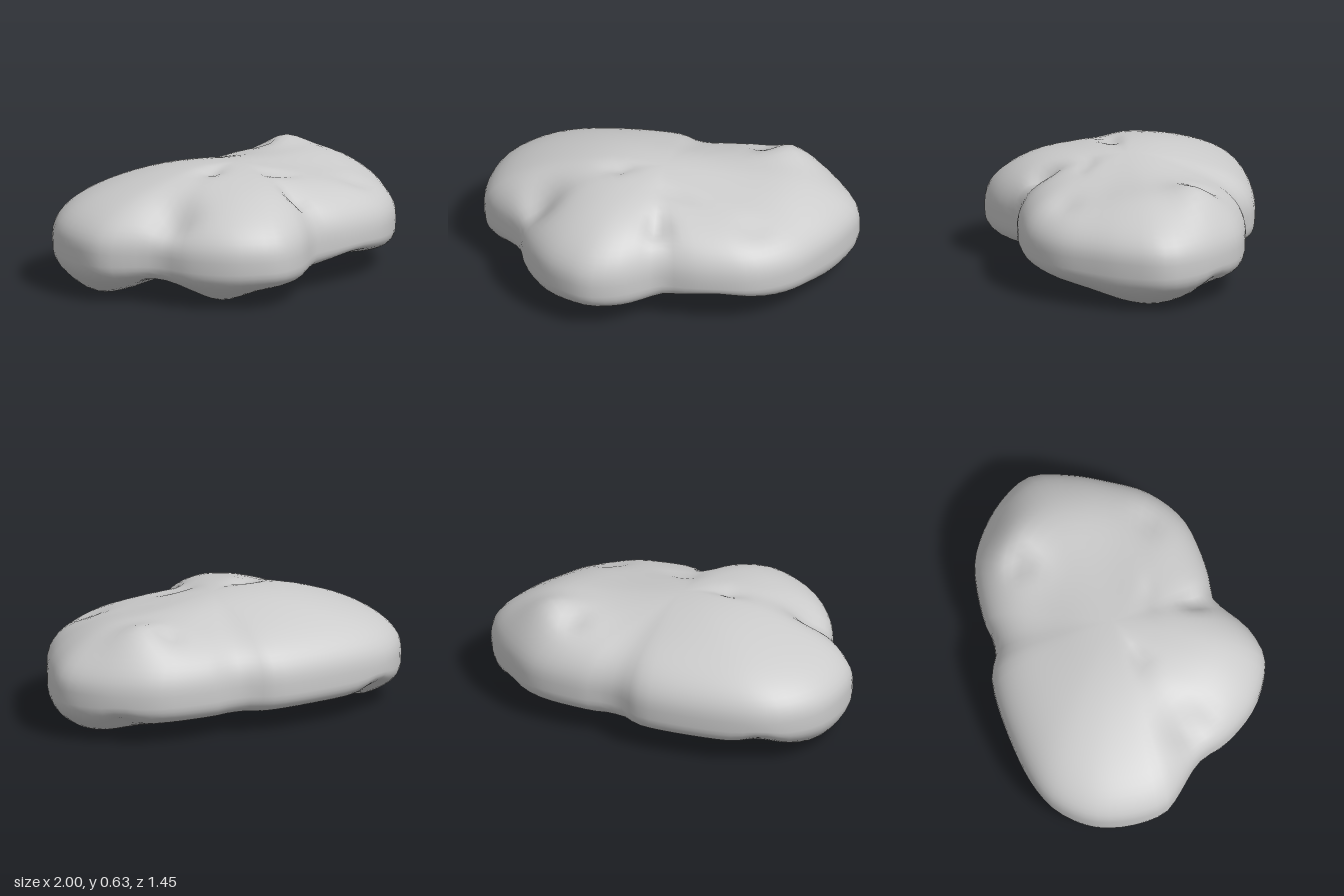
import * as THREE from 'three';
import { mergeVertices } from 'three/addons/utils/BufferGeometryUtils.js';

// Plan outline, [x, z], running from the left side round the front
const OUTLINE = [
  [1, -0.34], [0.97, -0.12], [0.9, 0.07], [0.8, 0.27], [0.62, 0.43], [0.42, 0.49], [0.25, 0.51],
  [0.14, 0.51], [-0.07, 0.67], [-0.23, 0.72], [-0.37, 0.68], [-0.5, 0.6], [-0.64, 0.44], [-0.72, 0.28],
  [-0.88, 0.14], [-0.96, 0.06], [-1, -0.1], [-0.98, -0.33], [-0.88, -0.5], [-0.75, -0.6], [-0.4, -0.7],
  [-0.06, -0.73], [0.03, -0.69], [0.18, -0.69], [0.25, -0.71], [0.56, -0.71], [0.74, -0.63], [0.9, -0.5],
];
const CENTRE = [0, -0.06];
const WAIST = 0.27;
const CROWN = { power: 2.2, height: 0.335 };
const BASE = { power: 4, height: -0.2 };

// Soft bumps and dents: [x, z, radius x, radius z, height]
const TOP_MARKS = [
  [-0.32, -0.02, 0.4, 0.4, 0.035], [0.6, -0.5, 0.2, 0.15, 0.12], [0.7, -0.2, 0.2, 0.25, 0.03],
  [-0.25, 0.48, 0.22, 0.2, 0.02], [0.42, 0.1, 0.35, 0.3, -0.035], [0.15, -0.42, 0.28, 0.18, -0.025],
  [-0.62, 0.26, 0.11, 0.12, -0.12], [0.44, -0.5, 0.08, 0.07, -0.06], [-0.22, 0.04, 0.08, 0.05, -0.03],
  [0.08, 0.39, 0.05, 0.07, -0.08], [0.12, 0.15, 0.1, 0.04, -0.02], [0.58, 0.23, 0.08, 0.08, -0.03],
];
const BOTTOM_MARKS = [
  // Three feet
  [-0.82, -0.17, 0.2, 0.24, -0.11], [0.77, -0.22, 0.25, 0.32, -0.1], [-0.4, 0.39, 0.17, 0.18, -0.08],
  // Hollow running beneath the middle
  [0.1, 0.08, 0.34, 0.22, 0.09], [-0.25, -0.22, 0.25, 0.25, 0.05], [-0.5, 0.16, 0.25, 0.09, 0.06],
  [0.4, 0.42, 0.24, 0.16, 0.07],
  // Dents in the back corners
  [0.74, -0.56, 0.08, 0.08, 0.05], [-0.74, -0.58, 0.1, 0.1, 0.06],
];
const marks = (list, x, z) => list.reduce((sum, [cx, cz, rx, rz, h]) =>
  sum + h * Math.exp(-(((x - cx) / rx) ** 2) - ((z - cz) / rz) ** 2), 0);

// Rounded shell: rings run from the crown, over the waist, to the underside
function boulderGeometry(segments = 84, rings = 36) {
  const curve = new THREE.CatmullRomCurve3(OUTLINE.map(([x, z]) => new THREE.Vector3(x, 0, z)), true);
  const edge = curve.getSpacedPoints(segments).slice(0, segments);
  const positions = [], index = [];
  for (let i = 0; i <= rings; i++) {
    const phi = (i / rings) * Math.PI;
    const top = i <= rings / 2;
    const { power, height } = top ? CROWN : BASE;
    const rho = i === rings ? 0 : Math.sin(phi) ** (2 / power);
    const rise = i === rings / 2 ? 0 : Math.abs(Math.cos(phi)) ** (2 / power);
    for (const p of edge) {
      const x = CENTRE[0] + (p.x - CENTRE[0]) * rho;
      const z = CENTRE[1] + (p.z - CENTRE[1]) * rho;
      const y = WAIST + rise * (height + marks(top ? TOP_MARKS : BOTTOM_MARKS, x, z));
      positions.push(x, y, z);
    }
  }
  for (let i = 0; i < rings; i++) {
    for (let j = 0; j < segments; j++) {
      const k = (j + 1) % segments;
      const a = i * segments + j, b = a + segments;
      const c = i * segments + k, d = c + segments;
      if (i > 0) index.push(a, c, b);
      if (i < rings - 1) index.push(c, d, b);
    }
  }
  const shell = new THREE.BufferGeometry();
  shell.setAttribute('position', new THREE.Float32BufferAttribute(positions, 3));
  shell.setIndex(index);
  const geometry = mergeVertices(shell, 1e-5);
  geometry.computeVertexNormals();
  return geometry;
}

export function createModel() {
  const group = new THREE.Group();
  group.name = 'rock';
  const boulder = new THREE.Mesh(boulderGeometry(), new THREE.MeshStandardMaterial({ color: 0xcccccc }));
  boulder.name = 'boulder';
  group.add(boulder);
  return group;
}
